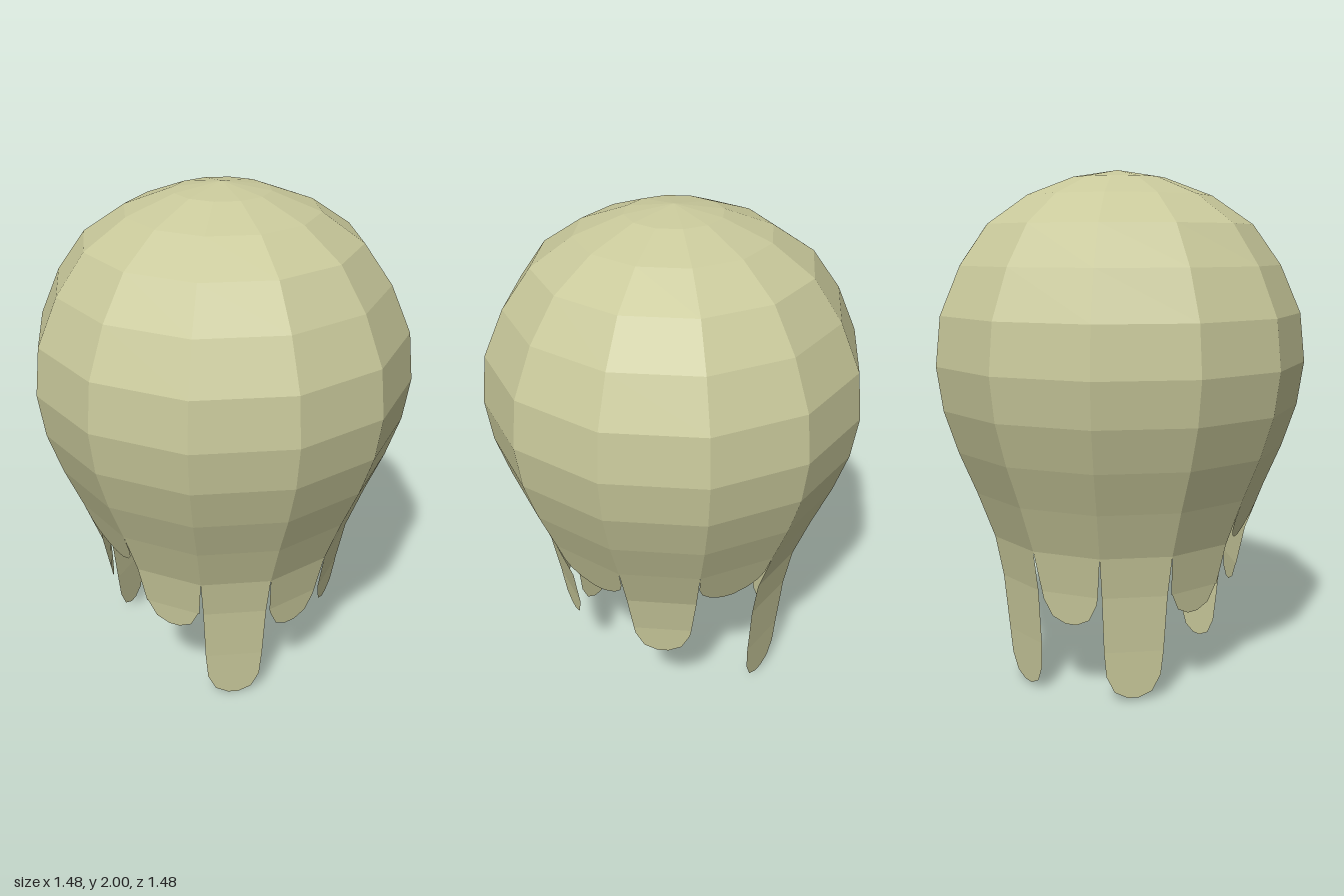
import * as THREE from 'three';

const SIDES = 12;
const STEP = (Math.PI * 2) / SIDES;

// Dome profile [radius, height], from hem to crown
const DOME = [
  [0.59, 0.76], [0.66, 0.925], [0.715, 1.09], [0.74, 1.26], [0.72, 1.45],
  [0.64, 1.635], [0.53, 1.79], [0.37, 1.9], [0.185, 1.97], [0, 2],
];

// Radius of the hanging strips below the dome [height, radius]
const TAPER = [[0, 0.46], [0.2, 0.472], [0.42, 0.492], [0.58, 0.522], [0.76, 0.59]];

// Lowest height of each strip, turning from the front (+z) towards +x
const ENDS = [0, 0.31, 0.31, 0.58, 0.3, 0.58, 0.01, 0.3, 0.012, 0.33, 0.58, 0.33];

function stripRadius(y) {
  for (let i = 1; i < TAPER.length; i++) {
    const [y0, r0] = TAPER[i - 1];
    const [y1, r1] = TAPER[i];
    if (y <= y1) return r0 + ((r1 - r0) * (y - y0)) / (y1 - y0);
  }
  return TAPER[TAPER.length - 1][1];
}

// Faceted normals
function faceted(geometry) {
  const flat = geometry.index ? geometry.toNonIndexed() : geometry;
  flat.computeVertexNormals();
  return flat;
}

// Rows [height, width share] of a strip: straight sides, then a rounded tip
function stripRows(end) {
  const rows = [[0.76, 1]];
  if (end > 0.5) rows.push([0.68, 0.97]);
  else rows.push([0.58, 1], [0.42, end > 0.2 ? 0.9 : 0.97]);
  if (end < 0.2) rows.push([0.2, 0.93]);
  rows.push([end + (end > 0.5 ? 0.06 : 0.09), 0.86], [end + 0.025, 0.6], [end, 0.18]);
  return rows;
}

// One flat strip spanning a single side of the dome
function stripGeometry(side) {
  const pos = [];
  const corner = (a, y) => {
    const r = stripRadius(y);
    return new THREE.Vector3(r * Math.sin(a), y, r * Math.cos(a));
  };
  const rows = stripRows(ENDS[side]).map(([y, w]) => {
    const a = corner(side * STEP, y);
    const b = corner((side + 1) * STEP, y);
    return [a.clone().lerp(b, (1 - w) / 2), a.clone().lerp(b, (1 + w) / 2)];
  });
  for (let i = 1; i < rows.length; i++) {
    const [tl, tr] = rows[i - 1];
    const [bl, br] = rows[i];
    for (const p of [tl, bl, br, tl, br, tr]) pos.push(p.x, p.y, p.z);
  }
  const geometry = new THREE.BufferGeometry();
  geometry.setAttribute('position', new THREE.Float32BufferAttribute(pos, 3));
  return faceted(geometry);
}

export function createModel() {
  const model = new THREE.Group();
  model.name = 'hair';
  const paleStraw = new THREE.MeshStandardMaterial({ color: 0xc9c99b, side: THREE.DoubleSide });
  paleStraw.name = 'pale straw';

  // Rounded crown
  const points = DOME.map(([r, y]) => new THREE.Vector2(r, y));
  const dome = new THREE.Mesh(faceted(new THREE.LatheGeometry(points, SIDES)), paleStraw);
  dome.name = 'dome';
  model.add(dome);

  // Hanging strips of uneven length
  const strips = new THREE.Group();
  strips.name = 'hangingStrips';
  for (let i = 0; i < SIDES; i++) {
    const strip = new THREE.Mesh(stripGeometry(i), paleStraw);
    strip.name = `strip${i + 1}`;
    strips.add(strip);
  }
  model.add(strips);
  return model;
}
